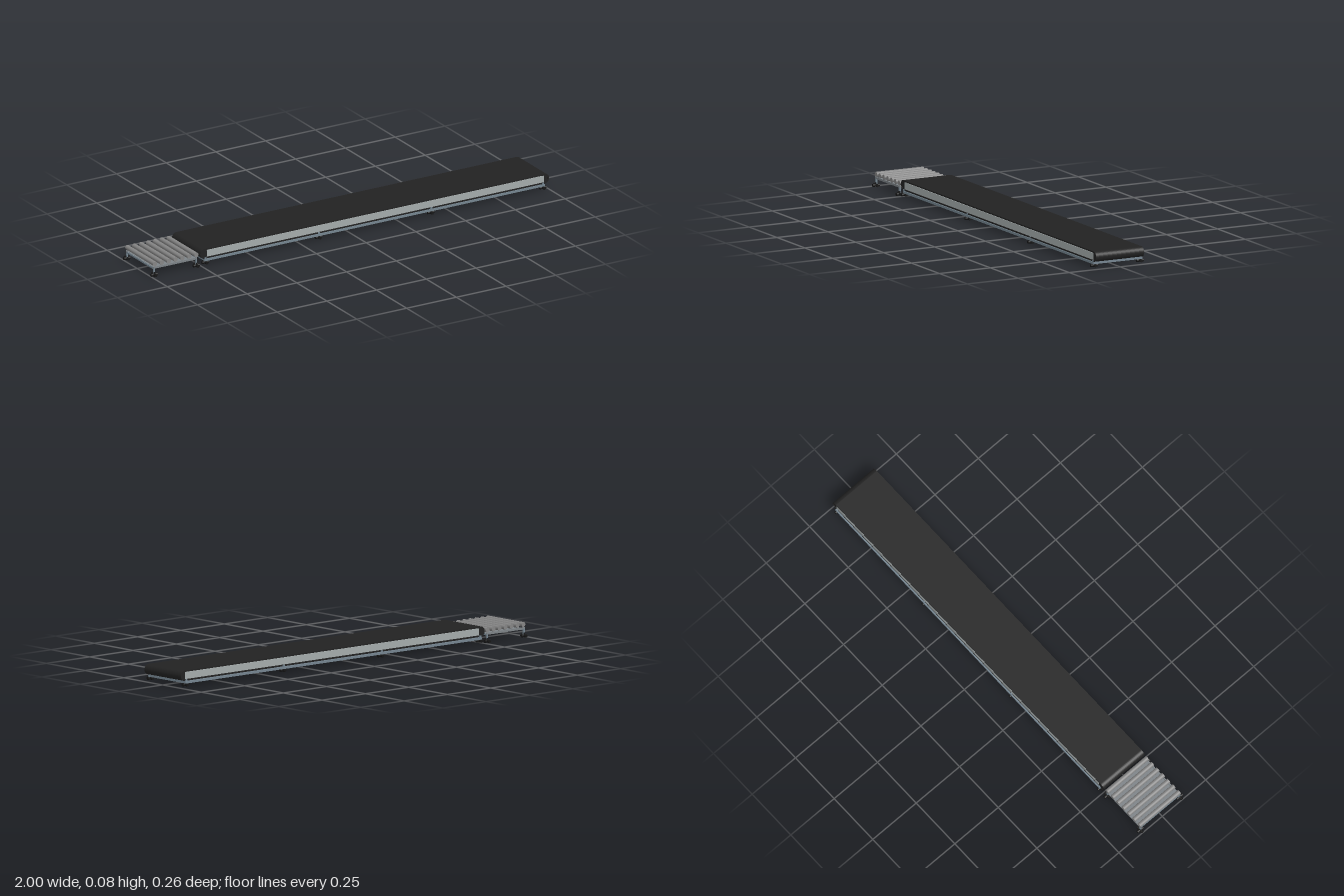
import * as THREE from 'three';

const mat = (color, side = THREE.FrontSide) => new THREE.MeshStandardMaterial({ color, side });
const black = mat(0x222222), dark = mat(0x161616), panel = mat(0xa4abab);
const steel = mat(0x74848f), rollerGrey = mat(0x858585), trayGrey = mat(0x7c8286);

function add(parent, name, geometry, material, x, y, z) {
  const mesh = new THREE.Mesh(geometry, material);
  mesh.name = name;
  mesh.position.set(x, y, z);
  parent.add(mesh);
  return mesh;
}
const box = (parent, name, m, w, h, d, x, y, z) =>
  add(parent, name, new THREE.BoxGeometry(w, h, d), m, x, y, z);

// Cylinder lying along z
function rod(parent, name, m, r, length, x, y, z = 0, sides = 20) {
  const geometry = new THREE.CylinderGeometry(r, r, length, sides);
  geometry.rotateX(Math.PI / 2);
  return add(parent, name, geometry, m, x, y, z);
}

// Stadium outline between two pulley centres
function stadium(Type, x0, x1, r) {
  const s = new Type();
  s.moveTo(x0, -r);
  s.lineTo(x1, -r);
  s.absarc(x1, 0, r, -Math.PI / 2, Math.PI / 2, false);
  s.lineTo(x0, r);
  s.absarc(x0, 0, r, Math.PI / 2, Math.PI * 1.5, false);
  return s;
}

// Low swivel foot with crossed rollers
function caster(parent, x, y, z) {
  const g = new THREE.Group();
  g.name = 'caster';
  rod(g, 'casterWheel', dark, 0.0065, 0.033, 0, 0, 0, 14);
  rod(g, 'casterWheel', dark, 0.0065, 0.031, 0, 0, 0, 14).rotation.y = Math.PI / 2;
  add(g, 'casterStem', new THREE.CylinderGeometry(0.004, 0.004, 0.01, 10), dark, 0, 0.008, 0);
  g.position.set(x, y, z);
  parent.add(g);
}

function beltConveyor() {
  const g = new THREE.Group();
  g.name = 'beltConveyor';
  const x0 = -0.732, x1 = 0.977, y = 0.0525, r = 0.0225, width = 0.235;

  // Endless belt
  const shape = stadium(THREE.Shape, x0, x1, r);
  shape.holes.push(stadium(THREE.Path, x0, x1, r - 0.006));
  const belt = new THREE.ExtrudeGeometry(shape, { depth: width, bevelEnabled: false, curveSegments: 16 });
  add(g, 'belt', belt, black, 0, y, -width / 2);

  // End pulleys and side panels
  for (const x of [x0, x1]) rod(g, 'pulley', black, r - 0.005, width - 0.002, x, y);
  for (const s of [1, -1]) {
    box(g, 'sidePanel', panel, 1.695, 0.03, 0.006, 0.1275, y, s * 0.1145);
  }

  // Under-frame: long rails, cross members and short risers
  const stations = [-0.727, -0.157, 0.407, 0.97], fz = -0.002;
  for (const s of [1, -1]) {
    const z = fz + s * 0.116;
    box(g, 'frameRail', steel, 1.71, 0.01, 0.01, 0.122, 0.0235, z);
    for (const x of stations) {
      box(g, 'frameRiser', steel, 0.01, 0.01, 0.008, x, 0.031, z);
      caster(g, x, 0.0125, s * 0.1125);
    }
  }
  for (const x of stations) box(g, 'crossMember', steel, 0.01, 0.01, 0.232, x, 0.0235, fz);
  return g;
}

function rollerTable() {
  const g = new THREE.Group();
  g.name = 'rollerTable';
  const left = -0.984, right = -0.772, mid = (left + right) / 2;

  // Flat tray with side rails
  box(g, 'tray', trayGrey, right - left, 0.004, 0.226, mid, 0.037, 0);
  for (const s of [1, -1]) {
    box(g, 'tableRail', trayGrey, right - left + 0.008, 0.009, 0.006, mid, 0.0385, s * 0.112);
    for (const x of [left, right]) {
      box(g, 'tableLeg', steel, 0.007, 0.026, 0.007, x, 0.024, s * 0.1125);
      caster(g, x, 0.0065, s * 0.1135);
    }
  }
  for (const x of [left, right]) box(g, 'tableCrossBar', steel, 0.007, 0.007, 0.226, x, 0.0345, 0);

  // Free rollers, each carried by a bracket at both ends
  for (let i = 0; i < 7; i++) {
    const x = -0.98 + i * 0.0345;
    rod(g, 'roller', rollerGrey, 0.0105, 0.232, x, 0.0555);
    for (const s of [1, -1]) box(g, 'rollerBracket', trayGrey, 0.005, 0.012, 0.004, x, 0.044, s * 0.112);
  }
  return g;
}

export function createModel() {
  const model = new THREE.Group();
  model.name = 'conveyorWithRollerTable';
  model.add(beltConveyor(), rollerTable());
  return model;
}
